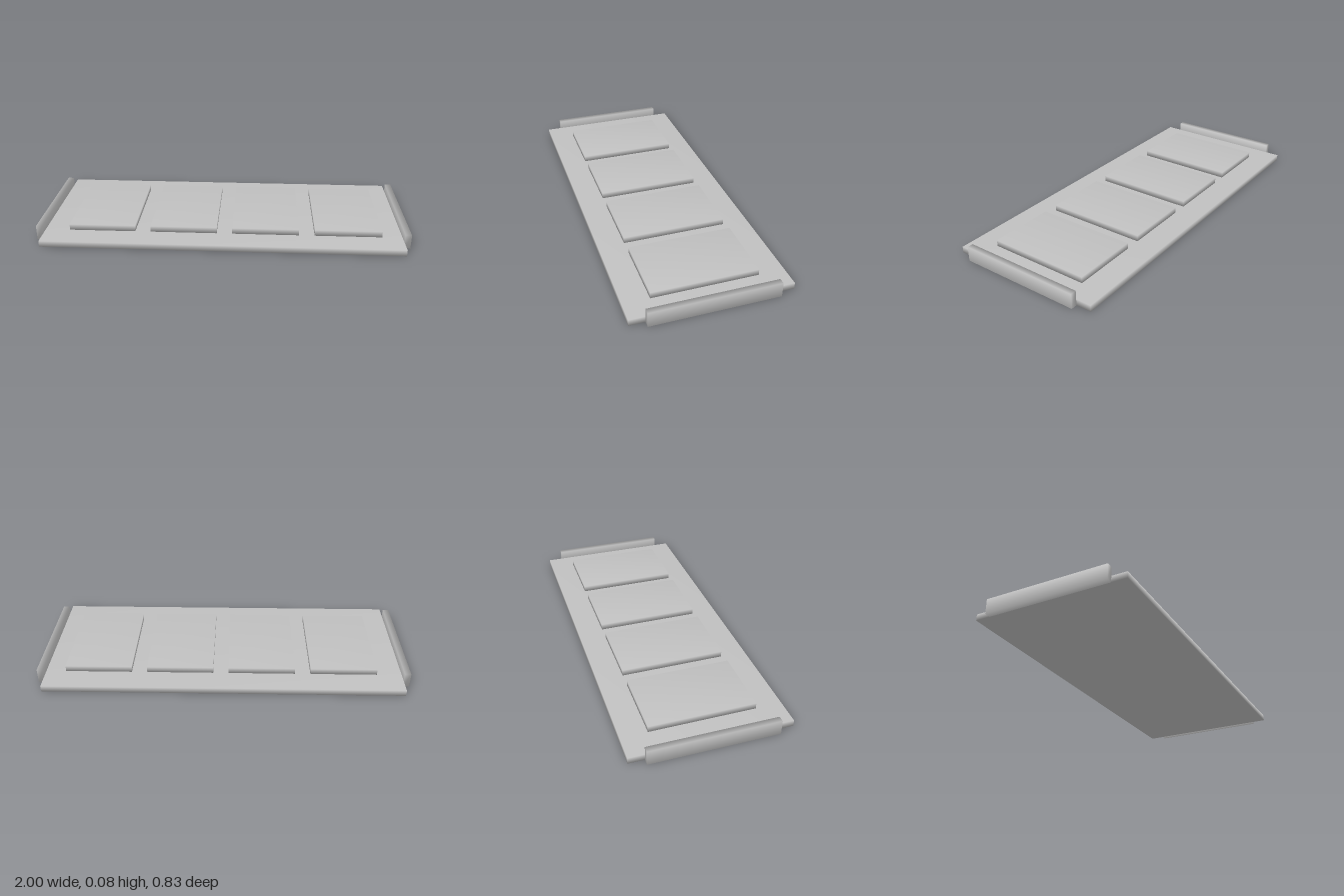
import * as THREE from 'three';
import { mergeVertices } from 'three/addons/utils/BufferGeometryUtils.js';

const grey = new THREE.MeshStandardMaterial({ color: 0xc0c0c0 });
grey.name = 'grey';

// Box with corners shared between faces, so it shades smoothly
function softBox(name, w, h, d, x, y, z) {
  let geometry = new THREE.BoxGeometry(w, h, d);
  geometry.deleteAttribute('normal');
  geometry.deleteAttribute('uv');
  geometry = mergeVertices(geometry);
  geometry.computeVertexNormals();
  const mesh = new THREE.Mesh(geometry, grey);
  mesh.name = name;
  mesh.position.set(x, y + h / 2, z);
  return mesh;
}

export function createModel() {
  const model = new THREE.Group();
  model.name = 'panelTray';

  // Base slab
  model.add(softBox('baseSlab', 1.934, 0.034, 0.83, 0, 0, 0));

  // Raised end plates
  for (const side of [-1, 1]) {
    model.add(softBox(side > 0 ? 'leftEndPlate' : 'rightEndPlate',
      0.033, 0.08, 0.666, side * 0.9835, 0, 0));
  }

  // Row of four raised panels, slightly off centre
  for (let i = 0; i < 4; i++) {
    model.add(softBox(`panel${i + 1}`, 0.36, 0.033, 0.554, -0.653 + i * 0.444, 0.034, 0));
  }
  return model;
}
